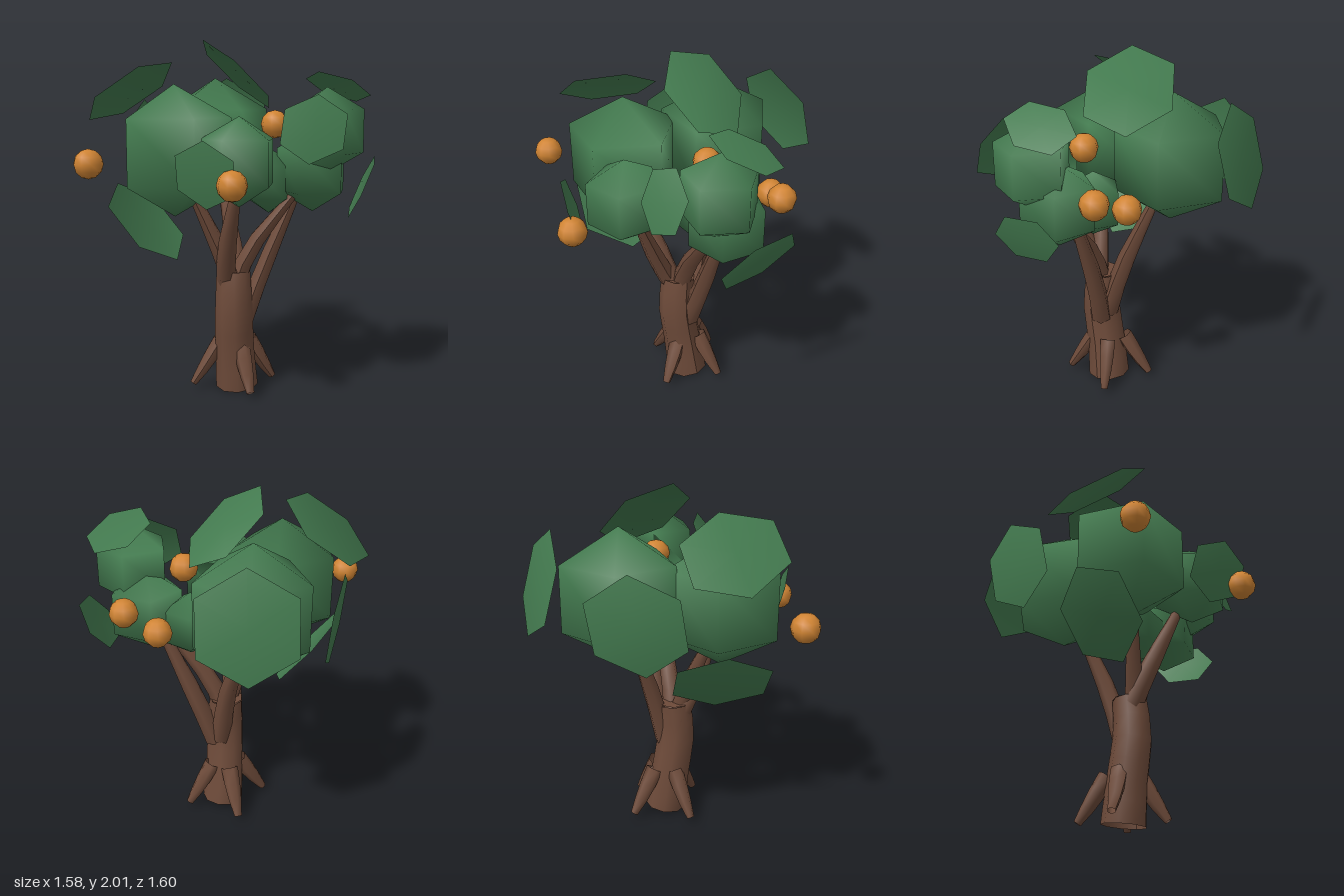
import * as THREE from 'three';

const V = (a) => new THREE.Vector3(...a);
const bark = new THREE.MeshStandardMaterial({ color: 0x6e4b3a, side: THREE.DoubleSide });
bark.name = 'bark brown';
const leaf = new THREE.MeshStandardMaterial({ color: 0x437a4f, side: THREE.DoubleSide });
leaf.name = 'leaf green';
const peel = new THREE.MeshStandardMaterial({ color: 0xd08433 });
peel.name = 'fruit orange';
const crownCentre = new THREE.Vector3(0, 1.35, 0);

// Tapered tube through points; radii are spread evenly along its length
function limb(points, radii, sides, steps) {
  const curve = new THREE.CatmullRomCurve3(points.map(V));
  const geo = new THREE.TubeGeometry(curve, steps, 1, sides);
  const pos = geo.attributes.position;
  const v = new THREE.Vector3();
  for (let i = 0; i <= steps; i++) {
    const t = i / steps;
    const p = curve.getPointAt(t);
    const s = t * (radii.length - 1);
    const k = Math.min(Math.floor(s), radii.length - 2);
    const r = THREE.MathUtils.lerp(radii[k], radii[k + 1], s - k);
    for (let j = 0; j <= sides; j++) {
      const n = i * (sides + 1) + j;
      v.fromBufferAttribute(pos, n).sub(p).multiplyScalar(r).add(p);
      pos.setXYZ(n, v.x, v.y, v.z);
    }
  }
  geo.computeVertexNormals();
  return geo;
}

// Foliage normals lean away from the middle of the crown, so it reads as one mass
function fanNormals(geo) {
  const { position, normal } = geo.attributes;
  const v = new THREE.Vector3();
  const own = new THREE.Vector3();
  for (let i = 0; i < position.count; i++) {
    own.fromBufferAttribute(normal, i);
    v.fromBufferAttribute(position, i).sub(crownCentre).normalize().add(own).normalize();
    normal.setXYZ(i, v.x, v.y, v.z);
  }
  return geo;
}

// Flat hexagon from its centre and two neighbouring corner offsets, facing outward
function leafCard(centre, a, b) {
  let A = V(a), B = V(b);
  const outward = V(centre).sub(crownCentre);
  if (A.clone().cross(B).dot(outward) < 0) [A, B] = [B, A];
  const D = B.clone().sub(A);
  const corners = [A, B, D, A.clone().negate(), B.clone().negate(), D.clone().negate()];
  const geo = new THREE.BufferGeometry().setFromPoints([new THREE.Vector3(), ...corners]);
  const index = [];
  for (let i = 0; i < 6; i++) index.push(0, i + 1, ((i + 1) % 6) + 1);
  geo.setIndex(index);
  geo.computeVertexNormals();
  return fanNormals(geo.translate(...centre));
}

// Coarse ball of leaves
function clump(x, y, z, r, turn) {
  const geo = new THREE.SphereGeometry(r, 5, 3);
  geo.rotateY(THREE.MathUtils.degToRad(turn));
  return fanNormals(geo.translate(x, y, z));
}

export function createModel() {
  const tree = new THREE.Group();
  tree.name = 'fruitTree';
  const add = (name, geo, mat) => {
    const m = new THREE.Mesh(geo, mat);
    m.name = name;
    tree.add(m);
    return m;
  };

  // Trunk, leaning slightly forward, open at the foot
  add('trunk', limb([[0.01, 0.01, 0], [0, 0.25, 0.03], [0, 0.5, 0.065], [-0.005, 0.7, 0.05]],
    [0.124, 0.114, 0.11, 0.098], 9, 6), bark);
  const top = add('trunkTop', new THREE.CircleGeometry(0.097, 9), bark);
  top.rotation.x = -Math.PI / 2;
  top.position.set(-0.005, 0.7, 0.05);

  // Branches reaching into the crown
  [
    [[0.02, 0.55, 0.06], [-0.06, 0.8, 0.11], [-0.21, 1.16, 0.2]],
    [[0.02, 0.45, 0.0], [-0.01, 0.75, -0.08], [-0.11, 1.18, -0.23]],
    [[-0.04, 0.6, 0.06], [-0.03, 0.8, 0.16], [0.05, 1.2, 0.34]],
    [[0.06, 0.42, 0.02], [0.16, 0.7, -0.01], [0.36, 1.18, -0.02]],
    [[0.0, 0.6, 0.05], [0.09, 0.82, 0.05], [0.33, 1.14, 0.05]],
  ].forEach((p) => add('branch', limb(p, [0.06, 0.05, 0.027], 6, 4), bark));

  // Four roots around the foot
  [[0.115, 0.21], [0.21, -0.105], [-0.095, -0.225], [-0.235, 0.085]].forEach(([x, z]) =>
    add('root', limb([[x * 0.35, 0.28, z * 0.35], [x * 0.65, 0.16, z * 0.65], [x, 0.03, z]],
      [0.05, 0.046, 0.022], 6, 3), bark));

  // Crown clumps: x, y, z, radius, turn in degrees
  [
    [-0.305, 1.395, 0.22, 0.36, 49],
    [-0.16, 1.43, -0.3, 0.365, -18],
    [0.075, 1.355, 0.415, 0.235, 0],
    [0.515, 1.505, 0.115, 0.235, 46],
    [0.44, 1.285, 0.02, 0.235, -3],
    [0.19, 1.215, -0.02, 0.185, -15],
  ].forEach((c) => add('foliageClump', clump(...c), leaf));

  // Loose leaf plates around the crown: centre and two corner offsets
  [
    [[-0.555, 1.715, 0.185], [0.235, 0.155, 0], [0.125, 0.03, -0.245]],
    [[-0.15, 1.525, -0.718], [0.01, 0.275, 0.075], [0.25, 0.14, 0.015]],
    [[-0.008, 1.812, -0.115], [-0.178, 0.19, 0.1], [-0.198, 0.12, -0.155]],
    [[0.572, 1.74, 0.012], [0.178, -0.045, 0.015], [0.075, 0.035, 0.165]],
    [[-0.475, 0.995, 0.165], [0.175, -0.21, 0.03], [0.015, -0.1, 0.25]],
    [[-0.592, 1.395, -0.32], [-0.02, 0.275, -0.05], [0.04, 0.135, -0.25]],
    [[-0.065, 1.305, 0.655], [0, 0.175, 0.055], [0.155, 0.08, 0.09]],
    [[0.455, 1.525, 0.4], [0.02, 0.175, -0.06], [0.17, 0.075, -0.035]],
    [[0.712, 1.195, 0.012], [0.073, 0.16, -0.14], [0.008, 0.03, -0.215]],
  ].forEach((c) => add('leafPlate', leafCard(...c), leaf));

  // Round fruit
  [
    [-0.695, 1.345, 0.52], [0.08, 1.265, 0.725], [0.225, 1.535, 0.01],
    [0.515, 1.38, -0.265], [0.33, 1.305, -0.335],
  ].forEach((p) => add('fruit', new THREE.SphereGeometry(0.079, 9, 6), peel).position.set(...p));

  return tree;
}
